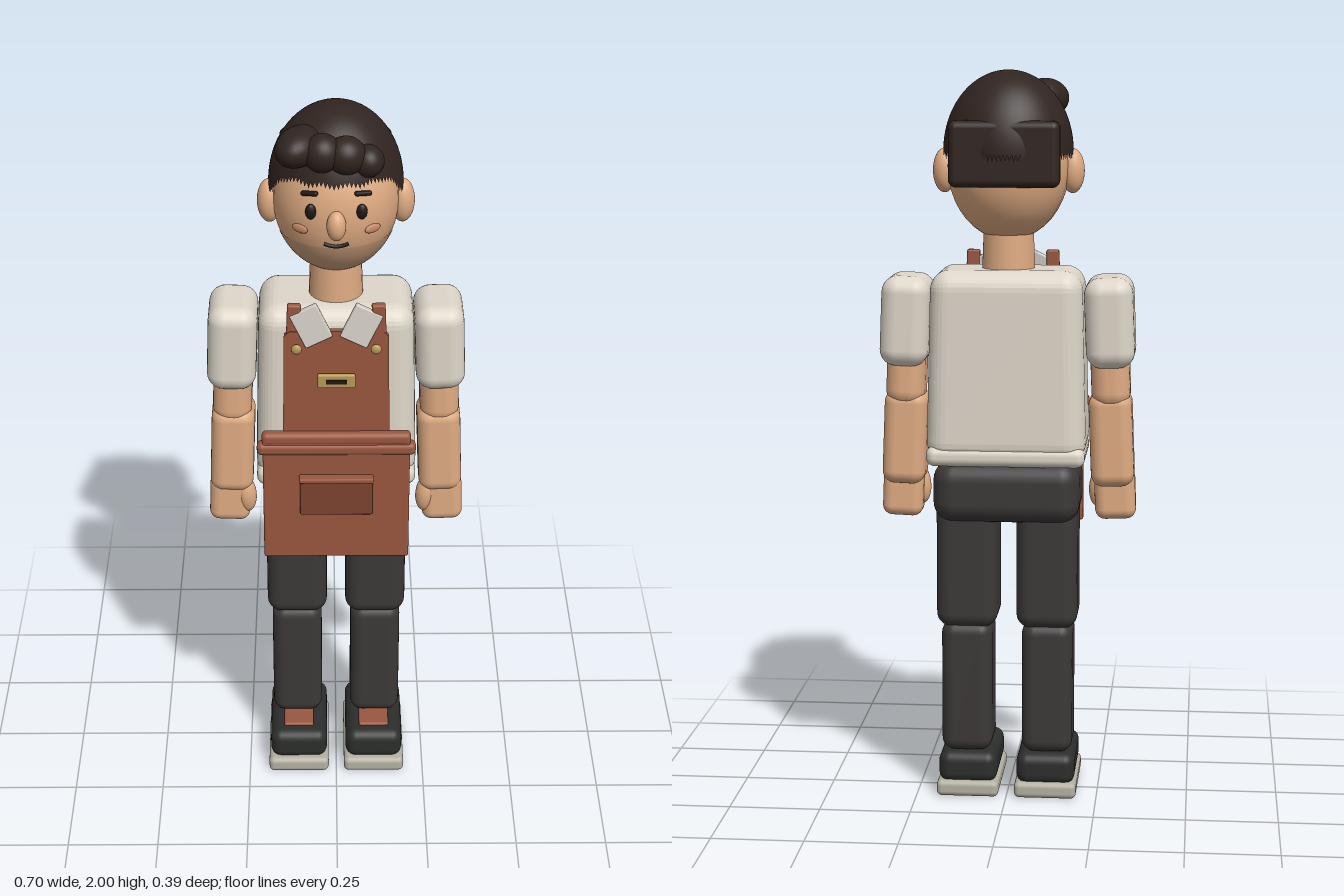
import * as THREE from 'three';
import { RoundedBoxGeometry } from 'three/addons/geometries/RoundedBoxGeometry.js';

const mat = (color, side = THREE.FrontSide) => new THREE.MeshStandardMaterial({ color, side });
const skin = mat(0xdfab82), stubble = mat(0xc79b78), blush = mat(0xc98a68);
const shirt = mat(0xded6c9), collarCloth = mat(0xd2cec6), trousers = mat(0x3c3838);
const shoe = mat(0x2c2e2c), soleRubber = mat(0xb4b1a2), leather = mat(0x995740), darkLeather = mat(0x7c432f);
const hair = mat(0x30241f, THREE.DoubleSide), ink = mat(0x201814), brass = mat(0xb59a55);

export function createModel() {
  const model = new THREE.Group();

  function add(name, geometry, material, [x, y, z], rotation = [0, 0, 0], parent = model) {
    const mesh = new THREE.Mesh(geometry, material);
    mesh.name = name;
    mesh.position.set(x, y, z);
    mesh.rotation.set(...rotation);
    parent.add(mesh);
    return mesh;
  }
  const rbox = (w, h, d, r) => new RoundedBoxGeometry(w, h, d, 4, r);
  const ball = (rx, ry, rz) => new THREE.SphereGeometry(1, 28, 20).scale(rx, ry, rz);

  // Narrows a geometry towards its top
  function taper(geometry, height, amount) {
    const p = geometry.attributes.position;
    for (let i = 0; i < p.count; i++) {
      const k = 1 - amount * (p.getY(i) / height + 0.5);
      p.setX(i, p.getX(i) * k);
      p.setZ(i, p.getZ(i) * k);
    }
    geometry.computeVertexNormals();
    return geometry;
  }

  // Legs, shoes and arms, mirrored
  for (const s of [1, -1]) {
    const side = s > 0 ? 'left' : 'right';
    const leg = new THREE.Group();
    leg.name = side + 'Leg';
    model.add(leg);
    add('sole', rbox(0.172, 0.045, 0.3, 0.015), soleRubber, [s * 0.108, 0.0225, 0.035], [0, 0, 0], leg);
    add('shoeUpper', rbox(0.162, 0.09, 0.275, 0.03), shoe, [s * 0.108, 0.08, 0.032], [0, 0, 0], leg);
    add('shoeTongue', rbox(0.085, 0.016, 0.085, 0.006), leather, [s * 0.108, 0.125, 0.085], [0, 0, 0], leg);
    add('shin', rbox(0.14, 0.37, 0.168, 0.035), trousers, [s * 0.111, 0.31, -0.014], [0, 0, 0], leg);
    add('thigh', rbox(0.168, 0.4, 0.185, 0.04), trousers, [s * 0.11, 0.68, -0.014], [0, 0, 0], leg);

    const arm = new THREE.Group();
    arm.name = side + 'Arm';
    model.add(arm);
    const tilt = [0, 0, s * 0.04];
    add('sleeve', rbox(0.132, 0.245, 0.203, 0.045), shirt, [s * 0.277, 1.328, -0.017], tilt, arm);
    add('upperArm', rbox(0.106, 0.24, 0.14, 0.045), skin, [s * 0.278, 1.21, -0.012], tilt, arm);
    add('forearm', rbox(0.118, 0.26, 0.135, 0.035), skin, [s * 0.283, 1.005, -0.008], tilt, arm);
    add('hand', rbox(0.112, 0.14, 0.085, 0.028), skin, [s * 0.293, 0.848, 0.008], tilt, arm);
    add('thumb', ball(0.027, 0.055, 0.027), skin, [s * 0.247, 0.86, 0.028], [0, 0, s * -0.08], arm);
  }

  // Body
  add('hips', rbox(0.4, 0.17, 0.25, 0.055), trousers, [0, 0.865, -0.014]);
  add('torso', taper(rbox(0.435, 0.52, 0.272, 0.055), 0.52, 0.06), shirt, [0, 1.21, -0.014]);
  add('shirtHem', rbox(0.43, 0.055, 0.278, 0.024), shirt, [0, 0.968, -0.012]);
  add('neck', new THREE.CylinderGeometry(0.068, 0.073, 0.13, 28), skin, [0, 1.505, -0.012]);

  // Apron
  const bib = new THREE.Shape([[-0.143, 1.08], [0.143, 1.08], [0.137, 1.415], [0.122, 1.43], [-0.122, 1.43], [-0.137, 1.415]]
    .map(([x, y]) => new THREE.Vector2(x, y)));
  add('apronBib', new THREE.ExtrudeGeometry(bib, { depth: 0.018, bevelEnabled: false }), leather, [0, 0, 0.128]);
  add('apronSkirt', rbox(0.395, 0.37, 0.024, 0.006), leather, [0, 0.925, 0.154]);
  add('waistbandTop', rbox(0.4, 0.036, 0.036, 0.014), leather, [0, 1.112, 0.15]);
  add('waistbandBottom', rbox(0.426, 0.036, 0.04, 0.014), leather, [0, 1.082, 0.151]);
  add('pocket', rbox(0.196, 0.12, 0.016, 0.004), darkLeather, [0, 0.945, 0.172]);
  add('pocketFlap', rbox(0.2, 0.014, 0.03, 0.004), leather, [0, 0.999, 0.179]);
  add('namePlate', rbox(0.1, 0.04, 0.014, 0.005), brass, [0, 1.29, 0.158]);
  add('namePlateSlot', new THREE.BoxGeometry(0.055, 0.012, 0.006), ink, [0, 1.29, 0.165]);
  for (const s of [1, -1]) {
    add('apronStrap', rbox(0.036, 0.12, 0.022, 0.006), leather, [s * 0.112, 1.445, 0.134], [0, 0, s * 0.04]);
    add('strapButton', ball(0.014, 0.014, 0.009), brass, [s * 0.104, 1.385, 0.16]);
    add('collarFlap', rbox(0.078, 0.1, 0.02, 0.004), collarCloth, [s * 0.066, 1.445, 0.14], [-0.1, 0, s * -0.45]);
  }

  // Head, with points placed on its curved face
  const R = new THREE.Vector3(0.165, 0.2, 0.162), cy = 1.745, cz = -0.015;
  const onFace = (x, y, out = 0) =>
    [x, y, cz + out + R.z * Math.sqrt(1 - (x / R.x) ** 2 - ((y - cy) / R.y) ** 2)];
  add('head', ball(R.x, R.y, R.z), skin, [0, cy, cz]);
  add('stubble', new THREE.SphereGeometry(1.006, 32, 12, Math.PI, Math.PI, 1.98, 0.75).scale(R.x, R.y, R.z)
    .rotateY(Math.PI), stubble, [0, cy, cz]);
  add('nose', ball(0.025, 0.04, 0.027), skin, onFace(0, 1.735, 0.004));
  const smile = new THREE.QuadraticBezierCurve3(
    new THREE.Vector3(...onFace(-0.032, 1.68, 0.003)),
    new THREE.Vector3(...onFace(0, 1.663, 0.005)),
    new THREE.Vector3(...onFace(0.032, 1.68, 0.003)));
  add('mouth', new THREE.TubeGeometry(smile, 16, 0.005, 8), ink, [0, 0, 0]);
  for (const s of [1, -1]) {
    add('ear', ball(0.032, 0.06, 0.035), skin, [s * 0.173, 1.732, -0.014]);
    add('eye', ball(0.014, 0.021, 0.01), ink, onFace(s * 0.065, 1.768, 0.002));
    add('eyebrow', rbox(0.046, 0.012, 0.014, 0.005), ink, onFace(s * 0.068, 1.814, 0.003), [0, s * 0.4, s * -0.12]);
    add('cheek', ball(0.025, 0.012, 0.006), blush, onFace(s * 0.093, 1.713, 0.001), [0, s * 0.65, 0]);
  }

  // Hair cap: a dome whose lower edge rises over the forehead in small tufts
  const cap = new THREE.SphereGeometry(1, 96, 20), p = cap.attributes.position, uv = cap.attributes.uv;
  const hy = 1.785, H = [0.175, 0.215, 0.174];
  for (let i = 0; i < p.count; i++) {
    const a = uv.getX(i) * Math.PI * 2, d = Math.sin(a);
    const rise = THREE.MathUtils.smoothstep(d, 0.15, 0.75);
    const tuft = d > 0.1 ? 0.008 * Math.abs(((a * 5) % 2) - 1) : 0;
    const edge = Math.acos((1.765 + 0.075 * rise - tuft - hy) / H[1]);
    const t = (1 - uv.getY(i)) * edge;
    p.setXYZ(i, H[0] * Math.sin(t) * Math.cos(a), H[1] * Math.cos(t), H[2] * Math.sin(t) * d);
  }
  // Keep the faces outward after the sweep direction changed
  const index = cap.index.array;
  for (let i = 0; i < index.length; i += 3) [index[i], index[i + 1]] = [index[i + 1], index[i]];
  cap.computeVertexNormals();
  add('hairCap', cap, hair, [0, hy, -0.02]);
  add('hairBack', rbox(0.295, 0.175, 0.06, 0.02), hair, [0, 1.783, -0.154]);

  // Swept quiff of overlapping locks
  [
    [-0.095, 1.925, 0.085, 0.058, 0.05, 0.08, 0.3],
    [-0.035, 1.92, 0.115, 0.05, 0.05, 0.048, -0.3],
    [0.025, 1.912, 0.112, 0.052, 0.05, 0.048, -0.35],
    [0.08, 1.892, 0.1, 0.042, 0.042, 0.045, -0.5],
  ].forEach(([x, y, z, a, b, c, r]) =>
    add('quiffLock', ball(a, b, c), hair, [x, y, z], [0, r > 0 ? -0.35 : 0.25, r]));

  return model;
}
